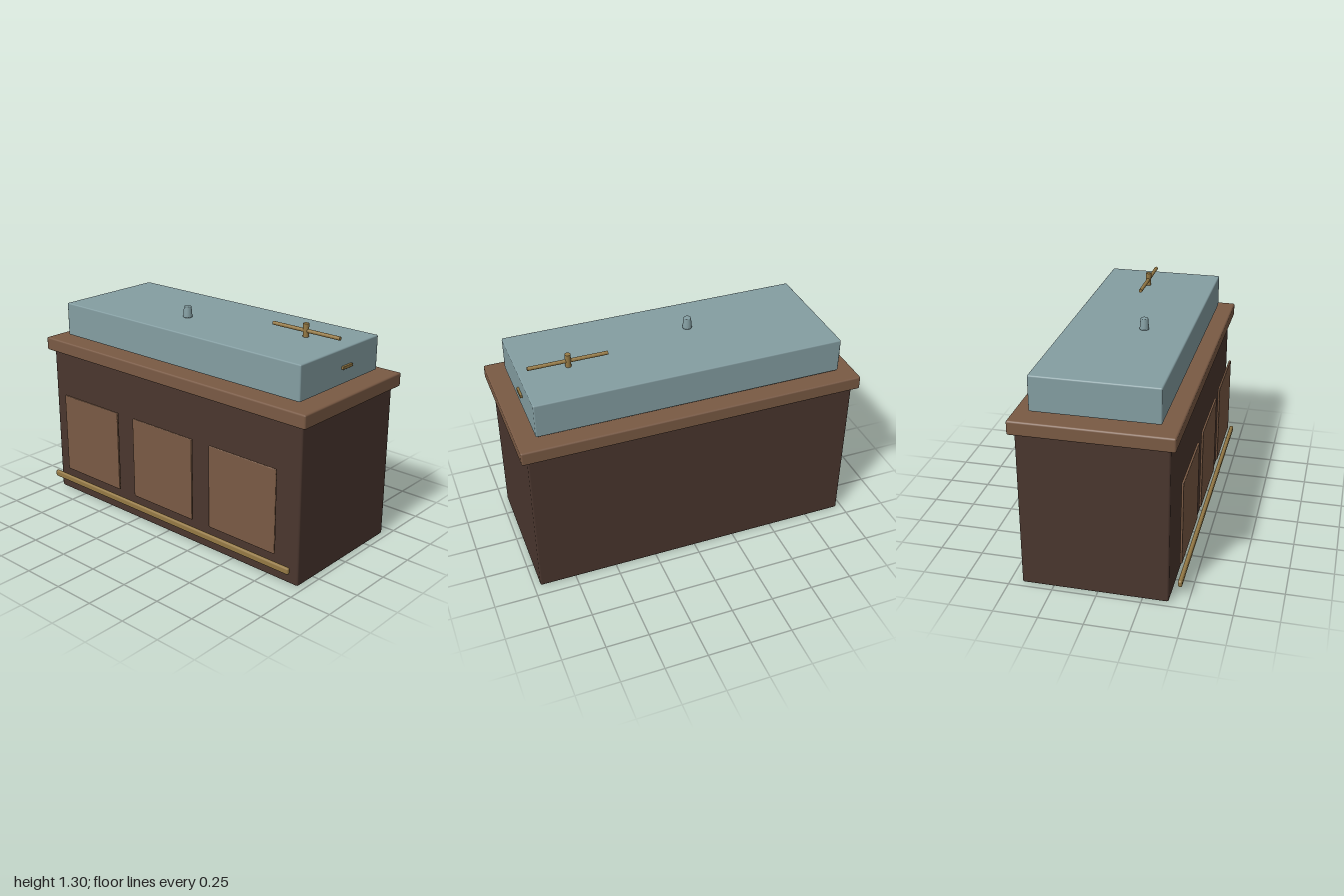
import * as THREE from 'three';
import { RoundedBoxGeometry } from 'three/addons/geometries/RoundedBoxGeometry.js';

const mat = (name, color) => {
  const m = new THREE.MeshStandardMaterial({ color });
  m.name = name;
  return m;
};

export function createModel() {
  const model = new THREE.Group();
  model.name = 'counter';
  const darkWood = mat('dark wood', 0x4a362e);
  const wood = mat('wood', 0x7a5a44);
  const teal = mat('pale teal', 0x849ea2);
  const brass = mat('brass', 0x967a45);

  const add = (name, geometry, material, x = 0, y = 0, z = 0) => {
    const mesh = new THREE.Mesh(geometry, material);
    mesh.name = name;
    mesh.position.set(x, y, z);
    model.add(mesh);
    return mesh;
  };
  // Box with softened edges, given by its extents on each axis
  const block = (name, material, [x0, x1], [y0, y1], [z0, z1], bevel) =>
    add(name, new RoundedBoxGeometry(x1 - x0, y1 - y0, z1 - z0, 1, bevel), material,
      (x0 + x1) / 2, (y0 + y1) / 2, (z0 + z1) / 2);

  // Cabinet body, worktop and the case resting above it
  block('cabinet', darkWood, [-0.965, 0.963], [0, 0.924], [-0.43, 0.395], 0.01);
  block('worktop', wood, [-1, 1], [0.929, 1.01], [-0.46, 0.428], 0.01);
  block('case', teal, [-0.897, 0.893], [1.025, 1.228], [-0.37, 0.335], 0.008);

  // Three front panels
  [-0.603, -0.003, 0.597].forEach((x, i) =>
    block('frontPanel' + (i + 1), wood, [x - 0.236, x + 0.236], [0.17, 0.67], [0.428, 0.442], 0.005));

  // Foot rail across the front
  block('footRail', brass, [-0.948, 0.945], [0.092, 0.132], [0.439, 0.463], 0.01);

  // Tapered knob on the case
  const knobProfile = [[0, 0], [0.027, 0], [0.027, 0.006], [0.022, 0.062], [0.019, 0.067], [0, 0.067]]
    .map(([r, y]) => new THREE.Vector2(r, y));
  add('knob', new THREE.LatheGeometry(knobProfile, 16), teal, -0.134, 1.227, 0.07);

  // Post with a long cross bar
  add('post', new THREE.CylinderGeometry(0.017, 0.017, 0.08, 12), brass, 0.617, 1.265, -0.073);
  const bar = add('crossBar', new THREE.CylinderGeometry(0.011, 0.011, 0.455, 12), brass, 0.618, 1.263, -0.073);
  bar.rotation.z = Math.PI / 2;

  // Small pull on the left end of the case
  block('sidePull', brass, [0.89, 0.906], [1.112, 1.13], [-0.115, -0.028], 0.003);

  return model;
}
